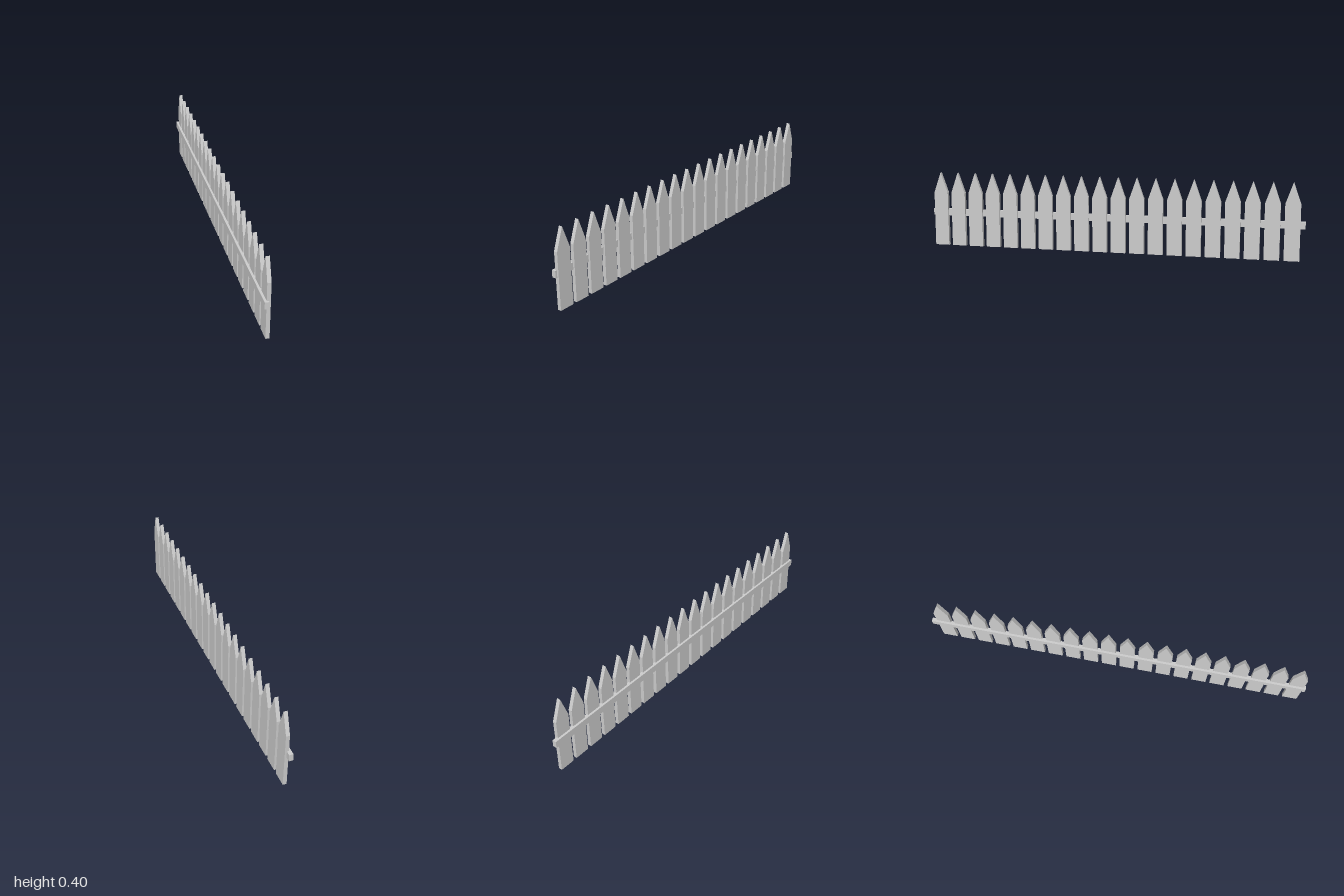
import * as THREE from 'three';

export function createModel() {
  const fence = new THREE.Group();
  fence.name = 'picketFence';
  const wood = new THREE.MeshStandardMaterial({ color: 0xcccccc, flatShading: true });

  // Pointed picket profile, extruded and turned so its broad face looks along +x
  const halfWidth = 0.039, shoulder = 0.29, height = 0.4;
  const profile = new THREE.Shape([
    new THREE.Vector2(-halfWidth, 0),
    new THREE.Vector2(halfWidth, 0),
    new THREE.Vector2(halfWidth, shoulder),
    new THREE.Vector2(0, height),
    new THREE.Vector2(-halfWidth, shoulder),
  ]);
  const picketGeometry = new THREE.ExtrudeGeometry(profile, { depth: 0.019, bevelEnabled: false });
  picketGeometry.rotateY(Math.PI / 2);

  // Evenly spaced row of pickets
  const count = 20, firstZ = 0.951, lastZ = -0.936;
  for (let i = 0; i < count; i++) {
    const picket = new THREE.Mesh(picketGeometry, wood);
    picket.name = `picket${i + 1}`;
    picket.position.set(-0.004, 0, THREE.MathUtils.lerp(firstZ, lastZ, i / (count - 1)));
    fence.add(picket);
  }

  // Single rail along the back, let slightly into the pickets
  const rail = new THREE.Mesh(new THREE.BoxGeometry(0.021, 0.036, 2), wood);
  rail.name = 'rail';
  rail.position.set(-0.0047, 0.182, 0);
  fence.add(rail);

  return fence;
}
